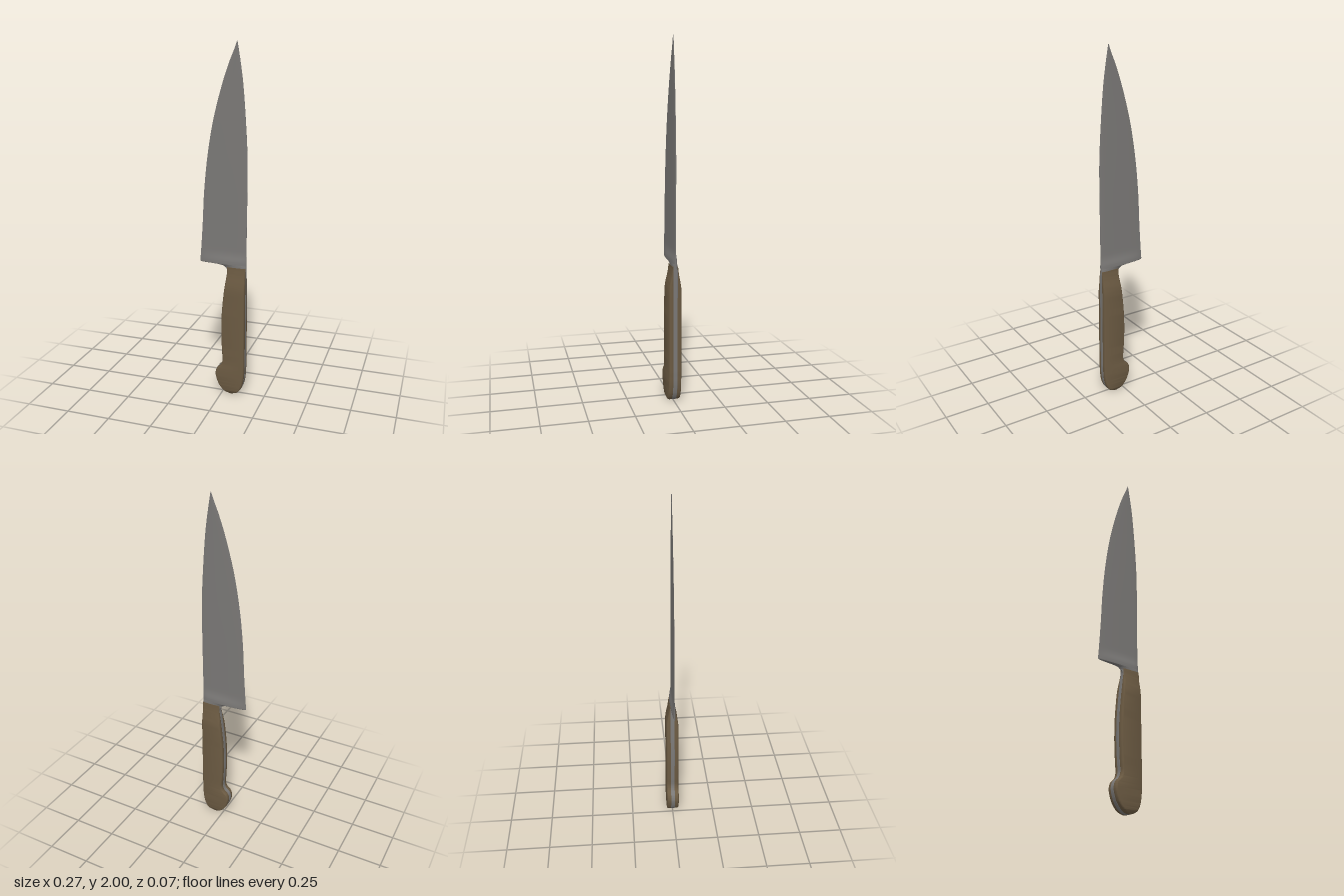
import * as THREE from 'three';
import { toCreasedNormals } from 'three/addons/utils/BufferGeometryUtils.js';

const steel = new THREE.MeshStandardMaterial({ name: 'steel', color: 0x7a7876 });
const wood = new THREE.MeshStandardMaterial({ name: 'brown wood', color: 0x6b5a42 });
const { lerp, smoothstep } = THREE.MathUtils;

// Smooth list of [left, right, y] stations
function stations(points, count) {
  const curve = new THREE.CatmullRomCurve3(points.map(p => new THREE.Vector3(...p)));
  return curve.getPoints(count).map(p => [p.x, p.y, p.z]);
}

// Skin closed loops of [x, z] stacked upwards; loops run +x, -z, -x, +z
function loft(name, list, section, material) {
  const pos = [], index = [];
  const rings = list.map(s => section(...s));
  const n = rings[0].length;
  rings.forEach((ring, i) => ring.forEach(([x, z]) => pos.push(x, list[i][2], z)));
  for (let i = 0; i < rings.length - 1; i++) {
    for (let j = 0; j < n; j++) {
      const a = i * n + j, b = i * n + (j + 1) % n;
      index.push(a, b, a + n, b, b + n, a + n);
    }
  }
  // End caps
  [0, rings.length - 1].forEach(i => {
    const c = pos.length / 3, [l, r, y] = list[i];
    const zs = rings[i].map(p => p[1]);
    pos.push((l + r) / 2, y, (Math.min(...zs) + Math.max(...zs)) / 2);
    for (let j = 0; j < n; j++) {
      const a = i * n + j, b = i * n + (j + 1) % n;
      if (i === 0) index.push(c, b, a);
      else index.push(c, a, b);
    }
  });
  const geo = new THREE.BufferGeometry();
  geo.setAttribute('position', new THREE.Float32BufferAttribute(pos, 3));
  geo.setIndex(index);
  const mesh = new THREE.Mesh(toCreasedNormals(geo, 0.6), material);
  mesh.name = name;
  return mesh;
}

// Lens section: thin cutting edge at left, rounded spine at right
const LENS = [[0, 0.04], [0.04, 0.25], [0.12, 0.5], [0.25, 0.75], [0.45, 0.95],
  [0.65, 1], [0.88, 0.95], [0.96, 0.75], [1, 0.4]];
function lens(l, r, t, blunt) {
  const side = LENS.map(([u, k]) => [lerp(l, r, u), t * Math.max(k, blunt)]);
  return [...side.slice().reverse().map(([x, z]) => [x, -z]), ...side];
}

// Rectangle from z0 to z1 with rounded corners at z1, and at z0 if asked
function rounded(l, r, z0, z1, radius, both) {
  const rad = Math.min(radius, (r - l) * 0.45, (z1 - z0) * (both ? 0.45 : 0.9));
  const loop = [];
  const corner = (cx, cz, start, q) => {
    for (let i = 0; i <= 5; i++) {
      const a = start + (i / 5) * Math.PI / 2;
      loop.push([cx + q * Math.cos(a), cz - q * Math.sin(a)]);
    }
  };
  const r0 = both ? rad : 0.0003;
  corner(r - r0, z0 + r0, 0, r0);
  corner(l + r0, z0 + r0, Math.PI / 2, r0);
  corner(l + rad, z1 - rad, Math.PI, rad);
  corner(r - rad, z1 - rad, Math.PI * 1.5, rad);
  return loop;
}

export function createModel() {
  const knife = new THREE.Group();
  knife.name = 'kitchenKnife';

  // Blade, thick at the heel and thin above
  const blade = stations([
    [-0.137, 0.134, 0.797], [-0.134, 0.134, 0.83], [-0.122, 0.135, 1.0], [-0.111, 0.136, 1.2],
    [-0.09, 0.135, 1.4], [-0.055, 0.124, 1.6], [-0.001, 0.107, 1.8], [0.034, 0.093, 1.9],
    [0.057, 0.084, 1.955], [0.074, 0.076, 2.0]], 70);
  knife.add(loft('blade', blade, (l, r, y) => {
    const t = 0.004 + 0.0095 * (1 - smoothstep(y, 0.8, 0.86)) - 0.002 * smoothstep(y, 1.2, 2);
    return lens(l, r, t, 0);
  }, steel));

  // Neck curving from the heel into the handle
  const neck = stations([
    [0.028, 0.134, 0.7], [0.026, 0.134, 0.745], [0.02, 0.134, 0.766], [0.0, 0.134, 0.779],
    [-0.03, 0.134, 0.785], [-0.08, 0.134, 0.789], [-0.134, 0.134, 0.793], [-0.137, 0.134, 0.798]], 32);
  knife.add(loft('neck', neck, (l, r, y) =>
    lens(l, r, 0.0135, 0.75 * (1 - smoothstep(y, 0.74, 0.79))), steel));

  // Handle outline, shared by tang and scales
  const outline = stations([
    [0.042, 0.066, 0.002], [0.022, 0.088, 0.009], [0.002, 0.106, 0.025], [-0.021, 0.121, 0.055],
    [-0.036, 0.129, 0.095], [-0.04, 0.132, 0.125], [-0.031, 0.133, 0.155], [-0.006, 0.134, 0.18],
    [0.003, 0.134, 0.21], [0.0, 0.134, 0.26], [-0.005, 0.134, 0.38], [-0.002, 0.134, 0.5],
    [0.008, 0.134, 0.61], [0.019, 0.134, 0.7], [0.025, 0.134, 0.745], [0.025, 0.134, 0.775]], 80);
  knife.add(loft('tang', outline.filter(s => s[2] < 0.76), (l, r) =>
    rounded(l, r, -0.0125, 0.0125, 0.003, true), steel));

  // Two wooden scales, sloping down to the neck
  for (const side of [1, -1]) {
    const name = side > 0 ? 'frontScale' : 'backScale';
    knife.add(loft(name, outline, (l, r, y) => {
      const depth = lerp(0.0355, 0.014, smoothstep(y, 0.63, 0.79))
        - 0.008 * Math.pow(1 - smoothstep(y, 0, 0.03), 2);
      const loop = rounded(l + 0.001, r - 0.001, 0.011, depth, 0.011, false);
      return side > 0 ? loop : loop.map(([x, z]) => [x, -z]).reverse();
    }, wood));
  }
  return knife;
}
